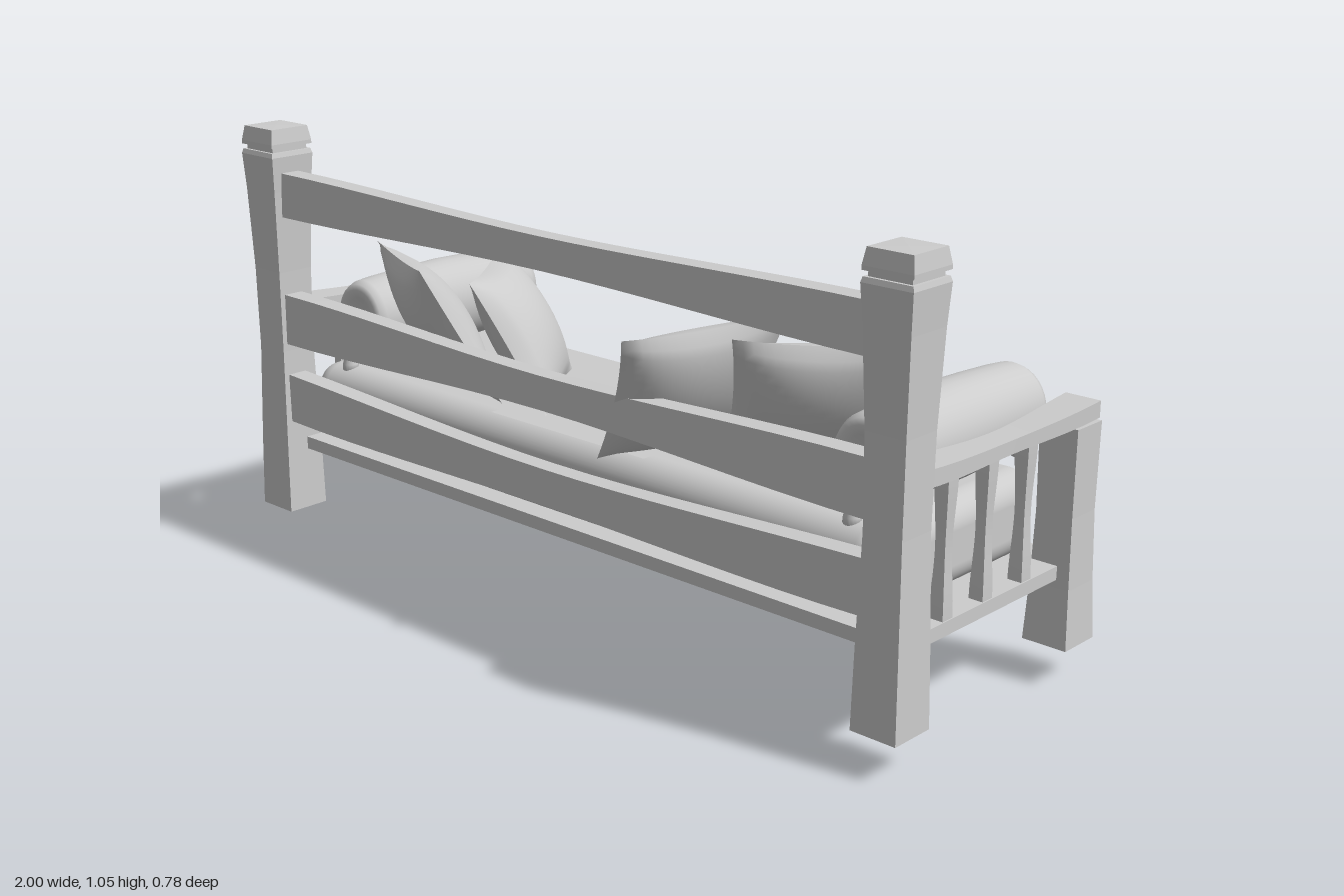
import * as THREE from 'three';
import { RoundedBoxGeometry } from 'three/addons/geometries/RoundedBoxGeometry.js';

const grey = new THREE.MeshStandardMaterial({ color: 0xcccccc, side: THREE.DoubleSide });
grey.name = 'plain grey';

function add(parent, name, geometry, x = 0, y = 0, z = 0) {
  const mesh = new THREE.Mesh(geometry, grey);
  mesh.name = name;
  mesh.position.set(x, y, z);
  parent.add(mesh);
  return mesh;
}

const lathe = (profile, sides) =>
  new THREE.LatheGeometry(profile.map(([r, y]) => new THREE.Vector2(r, y)), sides);

// Square post from [half width, height] pairs, faceted
function squarePost(profile) {
  const geo = lathe(profile.map(([h, y]) => [h * Math.SQRT2, y]), 4).rotateY(Math.PI / 4).toNonIndexed();
  geo.computeVertexNormals();
  return geo;
}

// Bar along x whose ends flare from the middle size to the end size
function flaredBar(length, midH, endH, midD, endD, sag = 0) {
  const geo = new THREE.BoxGeometry(length, 1, 1, 16, 1, 1);
  const p = geo.attributes.position;
  for (let i = 0; i < p.count; i++) {
    const t = Math.abs(p.getX(i)) / (length / 2);
    const k = t * t * (3 - 2 * t);
    p.setY(i, p.getY(i) * (midH + (endH - midH) * k) + sag * t * t);
    p.setZ(i, p.getZ(i) * (midD + (endD - midD) * k));
  }
  geo.computeVertexNormals();
  return geo;
}

// Puffed square cushion stretched between four corners, in order around the edge
function cushion(parent, name, corners) {
  const [a, b, c, d] = corners.map((v) => new THREE.Vector3(...v));
  const normal = b.clone().sub(a).cross(d.clone().sub(a)).normalize();
  const group = new THREE.Group();
  group.name = name;
  for (const side of [1, -1]) {
    const geo = new THREE.PlaneGeometry(2, 2, 18, 18);
    const p = geo.attributes.position;
    for (let i = 0; i < p.count; i++) {
      const u = p.getX(i), v = p.getY(i);
      const s = (u * (1 - 0.07 * (1 - v * v)) + 1) / 2;
      const t = (v * (1 - 0.07 * (1 - u * u)) + 1) / 2;
      const low = a.clone().lerp(b, s), high = d.clone().lerp(c, s);
      const puff = 0.068 * Math.pow((1 - u * u) * (1 - v * v), 0.6);
      low.lerp(high, t).addScaledVector(normal, side * puff);
      p.setXYZ(i, low.x, low.y, low.z);
    }
    if (side < 0) geo.index.array.reverse();
    geo.computeVertexNormals();
    add(group, side > 0 ? 'cushionFace' : 'cushionBack', geo);
  }
  parent.add(group);
}

export function createModel() {
  const model = new THREE.Group();
  model.name = 'daybed';

  // Base, mattress and rails
  add(model, 'base', new THREE.BoxGeometry(1.91, 0.031, 0.625), 0, 0.254, -0.027);
  add(model, 'mattress', new RoundedBoxGeometry(1.76, 0.195, 0.575, 6, 0.06), 0, 0.366, -0.015);
  add(model, 'topRail', flaredBar(1.79, 0.075, 0.108, 0.045, 0.05), 0, 0.892, 0.303);
  add(model, 'middleRail', flaredBar(1.79, 0.078, 0.125, 0.045, 0.05), 0, 0.581, 0.303);
  add(model, 'bottomRail', flaredBar(1.79, 0.085, 0.12, 0.045, 0.05, 0.015), 0, 0.365, 0.303);

  // Throw draped over the mattress
  const drape = new THREE.CatmullRomCurve3([
    [0.25, 0.468], [0, 0.469], [-0.22, 0.469], [-0.29, 0.455], [-0.335, 0.41],
    [-0.35, 0.34], [-0.352, 0.2], [-0.345, 0],
  ].map(([z, y]) => new THREE.Vector3(0, y, z)));
  const cloth = new THREE.PlaneGeometry(0.48, 1, 1, 48);
  const cp = cloth.attributes.position;
  for (let i = 0; i < cp.count; i++) {
    const q = drape.getPointAt(0.5 - cp.getY(i));
    cp.setXYZ(i, cp.getX(i), q.y, q.z);
  }
  cloth.computeVertexNormals();
  add(model, 'throw', cloth);

  // Shared shapes for both ends
  const tallPost = squarePost([[0.055, 0.086], [0.052, 0.25], [0.046, 0.5], [0.048, 0.7],
    [0.055, 0.9], [0.06, 0.985], [0.057, 0.996], [0, 0.996]]);
  const postCap = squarePost([[0, 0.99], [0.05, 0.99], [0.05, 1.006], [0.059, 1.008],
    [0.059, 1.017], [0.053, 1.052], [0, 1.053]]);
  const shortPost = squarePost([[0.054, 0.086], [0.048, 0.22], [0.044, 0.38], [0.046, 0.577], [0, 0.577]]);
  const armRail = flaredBar(0.605, 0.03, 0.037, 0.06, 0.085, 0.012).rotateY(Math.PI / 2);
  const baluster = flaredBar(0.31, 0.024, 0.034, 0.024, 0.034).rotateZ(Math.PI / 2);
  const half = [[0.012, 0.245], [0.035, 0.25], [0.055, 0.263], [0.075, 0.268], [0.088, 0.262],
    [0.096, 0.245], [0.1, 0.2], [0.105, 0.1]];
  const bolsterGeo = lathe([[0, -0.24], ...half.map(([r, y]) => [r, -y]), [0.108, 0],
    ...half.slice().reverse(), [0, 0.24]], 32).rotateX(Math.PI / 2).scale(0.91, 1, 1);
  const tasselGeo = lathe([[0, -0.062], [0.021, -0.062], [0.019, -0.04], [0.012, -0.012], [0.01, -0.005],
    [0.018, 0.002], [0.021, 0.012], [0.016, 0.024], [0.007, 0.03], [0.01, 0.036], [0.012, 0.042],
    [0.007, 0.05], [0.011, 0.056], [0.008, 0.063], [0, 0.066]], 16);

  for (const s of [1, -1]) {
    const end = new THREE.Group();
    end.name = s > 0 ? 'leftEnd' : 'rightEnd';
    model.add(end);
    add(end, 'tallPost', tallPost, s * 0.94, 0, 0.294);
    add(end, 'postCap', postCap, s * 0.94, 0, 0.294);
    add(end, 'shortPost', shortPost, s * 0.938, 0, -0.309);
    add(end, 'armRail', armRail, s * 0.935, 0.588, -0.054);
    for (const z of [0.13, -0.008, -0.148]) add(end, 'baluster', baluster, s * 0.935, 0.422, z);

    // Bolster with a button and hanging tassel at each end
    add(end, 'bolster', bolsterGeo, s * 0.78, 0.575, -0.075);
    for (const f of [1, -1]) {
      const face = -0.075 + f * 0.245, hang = -0.075 + f * 0.298;
      add(end, 'button', new THREE.SphereGeometry(0.02, 16, 10), s * 0.78, 0.575, face);
      const cord = new THREE.CatmullRomCurve3([
        new THREE.Vector3(0, 0.575, face),
        new THREE.Vector3(0, 0.577, (face + hang) / 2 + f * 0.01),
        new THREE.Vector3(0, 0.56, hang),
      ]);
      add(end, 'cord', new THREE.TubeGeometry(cord, 8, 0.005, 6), s * 0.78);
      add(end, 'tassel', tasselGeo, s * 0.78, 0.51, hang);
    }
  }

  // Loose cushions: two lower corners, then two upper corners
  cushion(model, 'leftInnerCushion',
    [[0.14, 0.455, 0.29], [0.27, 0.46, -0.06], [0.45, 0.79, 0.02], [0.31, 0.77, 0.39]]);
  cushion(model, 'leftOuterCushion',
    [[0.37, 0.46, 0.15], [0.61, 0.465, -0.13], [0.775, 0.775, 0], [0.51, 0.79, 0.28]]);
  cushion(model, 'rightInnerCushion',
    [[-0.36, 0.465, -0.13], [-0.12, 0.465, 0.19], [-0.27, 0.77, 0.28], [-0.49, 0.785, -0.016]]);
  cushion(model, 'rightOuterCushion',
    [[-0.65, 0.46, 0.005], [-0.275, 0.46, 0.18], [-0.365, 0.795, 0.345], [-0.725, 0.78, 0.17]]);

  return model;
}
